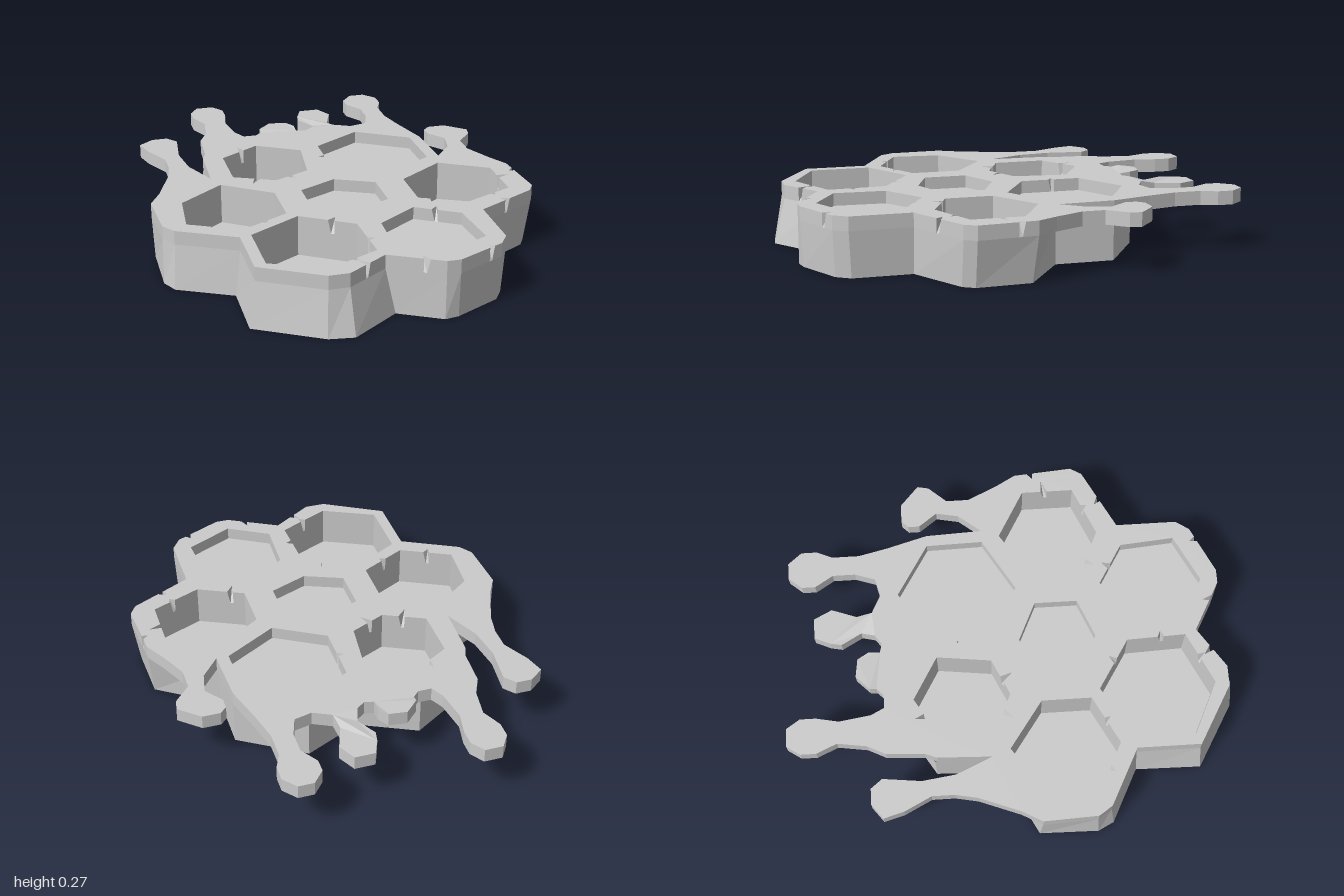
import * as THREE from 'three';
import { mergeGeometries } from 'three/addons/utils/BufferGeometryUtils.js';

const TOP = 0.262, UNDER = 0.2;

// All outlines are lists of [x, z]; ccw() makes them anticlockwise seen from above.
const toV2 = pts => pts.map(([x, z]) => new THREE.Vector2(x, -z));
const ccw = pts => (THREE.ShapeUtils.area(toV2(pts)) < 0 ? [...pts].reverse() : pts);

// Flat face at height y, with holes, facing up or down
function cap(pts, holes, y, down = false) {
  const shape = new THREE.Shape(toV2(pts));
  shape.holes = holes.map(h => new THREE.Path(toV2(h)));
  const g = new THREE.ShapeGeometry(shape).rotateX(-Math.PI / 2).translate(0, y, 0).toNonIndexed();
  return finish(g.attributes.position.array, down);
}

// Band of quads between two outlines of equal length
function wall(low, y0, high, y1, inward = false) {
  const a = [];
  low.forEach((p, i) => {
    const j = (i + 1) % low.length;
    const A = [p[0], y0, p[1]], B = [low[j][0], y0, low[j][1]];
    const C = [high[j][0], y1, high[j][1]], D = [high[i][0], y1, high[i][1]];
    a.push(...A, ...B, ...C, ...A, ...C, ...D);
  });
  return finish(a, inward);
}

function finish(array, flip) {
  const a = Float32Array.from(array);
  if (flip) {
    for (let i = 0; i < a.length; i += 9) {
      for (let k = 3; k < 6; k++) [a[i + k], a[i + k + 3]] = [a[i + k + 3], a[i + k]];
    }
  }
  // Two of the drips sit slightly lower or higher than the slab
  for (let i = 0; i < a.length; i += 3) {
    const x = a[i], z = a[i + 2];
    if (z < -0.65 && x > 0 && x < 0.25) a[i + 1] -= 0.015;
    if (z < -0.62 && x > -0.2 && x < 0) a[i + 1] += 0.006;
  }
  const g = new THREE.BufferGeometry();
  g.setAttribute('position', new THREE.BufferAttribute(a, 3));
  g.computeVertexNormals();
  return g;
}

// Cut V-shaped chips [x, z, tipX, tipZ] into an outline: open at the top, closed below
function chip(pts, chips) {
  let low = ccw(pts), high = low;
  const v = new THREE.Vector3(), q = new THREE.Vector3(), line = new THREE.Line3();
  for (const [x, z, tx, tz] of chips) {
    let best = { d: Infinity };
    high.forEach((p, i) => {
      const n = high[(i + 1) % high.length];
      line.set(new THREE.Vector3(p[0], 0, p[1]), new THREE.Vector3(n[0], 0, n[1]));
      line.closestPointToPoint(v.set(x, 0, z), true, q);
      const d = q.distanceTo(v);
      if (d < best.d) best = { d, i, p: [q.x, q.z], dir: line.delta(new THREE.Vector3()).setLength(0.014) };
    });
    const { i, p, dir } = best;
    const a = [p[0] - dir.x, p[1] - dir.z], b = [p[0] + dir.x, p[1] + dir.z];
    high = [...high.slice(0, i + 1), a, [tx, tz], b, ...high.slice(i + 1)];
    low = [...low.slice(0, i + 1), a, p, b, ...low.slice(i + 1)];
  }
  return { low, high };
}

// Slab outline: comb front, then the drips along the back
const front = [[0.81, 0.07], [0.83, 0.33], [0.8, 0.38], [0.53, 0.52], [0.53, 0.79], [0.49, 0.85], [0.28, 0.95],
  [0.22, 0.95], [0, 0.83], [-0.18, 0.95], [-0.27, 0.95], [-0.53, 0.8], [-0.53, 0.52], [-0.78, 0.39],
  [-0.82, 0.33], [-0.83, 0.09]];
const drips = [
  [[-0.78, 0], [-0.71, -0.18], [-0.69, -0.28], [-0.69, -0.38], [-0.75, -0.5], [-0.775, -0.59], [-0.71, -0.64],
    [-0.64, -0.64], [-0.6, -0.59], [-0.62, -0.42], [-0.6, -0.27], [-0.53, -0.11]],
  [[-0.52, -0.35], [-0.5, -0.4], [-0.49, -0.57], [-0.45, -0.65], [-0.43, -0.78], [-0.47, -0.87], [-0.47, -0.94],
    [-0.43, -1], [-0.35, -1], [-0.31, -0.94], [-0.31, -0.87], [-0.33, -0.77], [-0.31, -0.63], [-0.28, -0.57], [-0.22, -0.57]],
  [[-0.19, -0.6], [-0.19, -0.63], [-0.13, -0.69], [-0.05, -0.68], [-0.02, -0.63], [-0.02, -0.58], [0.02, -0.57]],
  [[0.06, -0.6], [0.08, -0.66], [0.03, -0.75], [0.04, -0.8], [0.07, -0.87], [0.16, -0.87], [0.2, -0.79],
    [0.16, -0.68], [0.17, -0.61], [0.25, -0.57]],
  [[0.33, -0.59], [0.36, -0.68], [0.36, -0.78], [0.31, -0.86], [0.31, -0.92], [0.36, -0.98], [0.43, -0.98],
    [0.48, -0.92], [0.48, -0.85], [0.45, -0.78], [0.45, -0.66], [0.48, -0.53], [0.53, -0.35], [0.54, -0.1]],
  [[0.62, -0.2], [0.64, -0.3], [0.58, -0.38], [0.58, -0.43], [0.61, -0.46], [0.69, -0.46], [0.78, -0.38],
    [0.77, -0.33], [0.7, -0.25], [0.7, -0.15], [0.76, -0.02]],
];
const rimChips = [[0.82, 0.14, 0.79, 0.15], [0.67, 0.45, 0.64, 0.425], [0.44, 0.875, 0.43, 0.845],
  [0.15, 0.91, 0.14, 0.87], [-0.09, 0.89, -0.12, 0.855]];

// Block below the slab: the back follows the cells, the foot is slightly skewed
const back = [[-0.53, -0.07], [-0.52, -0.36], [-0.25, -0.53], [0, -0.41], [0.25, -0.53], [0.53, -0.35], [0.53, -0.09]];
const footFront = [[0.79, 0.09], [0.8, 0.33], [0.77, 0.38], [0.52, 0.52], [0.52, 0.78], [0.48, 0.84], [0.28, 0.94],
  [0.22, 0.95], [0.04, 0.85], [-0.17, 1], [-0.28, 0.985], [-0.56, 0.82], [-0.555, 0.53], [-0.79, 0.41],
  [-0.825, 0.34], [-0.82, 0.08]];

// Hexagonal cells: corners, floor height and chips in the edge
const DEEP = 0.08, SHALLOW = 0.206;
const cells = [
  { floor: DEEP, pts: [[-0.25, -0.44], [-0.06, -0.33], [-0.09, -0.09], [-0.25, -0.015], [-0.43, -0.1], [-0.43, -0.33]],
    chips: [[-0.33, -0.39, -0.34, -0.44], [-0.33, -0.05, -0.36, -0.005], [-0.18, -0.05, -0.15, 0]] },
  { floor: SHALLOW, pts: [[0.25, -0.49], [0.48, -0.35], [0.485, -0.1], [0.25, 0.04], [0.03, -0.09], [0.03, -0.36]],
    chips: [[0.03, -0.23, 0, -0.235]] },
  { floor: DEEP, pts: [[-0.5, -0.03], [-0.29, 0.12], [-0.29, 0.34], [-0.5, 0.45], [-0.72, 0.34], [-0.7, 0.12]],
    chips: [[-0.61, 0.39, -0.63, 0.42], [-0.4, 0.39, -0.38, 0.415]] },
  { floor: SHALLOW, pts: [[0, 0.04], [0.17, 0.12], [0.17, 0.31], [0, 0.38], [-0.17, 0.31], [-0.17, 0.12]], chips: [] },
  { floor: DEEP, pts: [[0.51, -0.02], [0.72, 0.1], [0.72, 0.33], [0.5, 0.425], [0.3, 0.33], [0.3, 0.12]],
    chips: [[0.72, 0.2, 0.775, 0.19], [0.36, 0.36, 0.34, 0.405], [0.63, 0.37, 0.64, 0.39]] },
  { floor: DEEP, pts: [[-0.25, 0.38], [-0.03, 0.52], [-0.02, 0.78], [-0.25, 0.89], [-0.48, 0.78], [-0.48, 0.51]],
    chips: [[-0.02, 0.67, 0.005, 0.67], [-0.12, 0.45, -0.1, 0.43], [-0.13, 0.83, -0.11, 0.86]] },
  { floor: SHALLOW, pts: [[0.25, 0.42], [0.43, 0.53], [0.45, 0.77], [0.24, 0.875], [0.06, 0.77], [0.07, 0.54]],
    chips: [[0.33, 0.47, 0.35, 0.435]] },
];

export function createModel() {
  const group = new THREE.Group();
  const material = new THREE.MeshStandardMaterial({ color: 0xcccccc, flatShading: true });
  const add = (name, parts) => {
    const mesh = new THREE.Mesh(mergeGeometries(parts), material);
    mesh.name = name;
    group.add(mesh);
  };

  const holes = cells.map(c => ({ ...chip(c.pts, c.chips), floor: c.floor }));

  // Top slab with dripping back edge
  const rim = chip([...front, ...drips.flat()], rimChips);
  add('drippingSlab', [
    cap(rim.high, holes.map(h => h.high), TOP),
    wall(rim.low, UNDER, rim.high, TOP),
    cap(rim.low, holes.filter(h => h.floor === DEEP).map(h => h.low), UNDER, true),
  ]);

  // Comb block
  const upper = [...front, ...back], foot = [...footFront, ...back];
  add('combBlock', [
    wall([...foot].reverse(), 0, [...upper].reverse(), UNDER, THREE.ShapeUtils.area(toV2(foot)) > 0),
    cap(foot, [], 0, true),
  ]);

  // Cells
  holes.forEach((h, i) => {
    const edge = Math.max(h.floor, UNDER);
    const parts = [wall(h.low, edge, h.high, TOP, true), cap(h.low, [], h.floor)];
    if (h.floor < edge) parts.push(wall(h.low, h.floor, h.low, edge, true));
    add(`cell${i + 1}`, parts);
  });
  return group;
}
